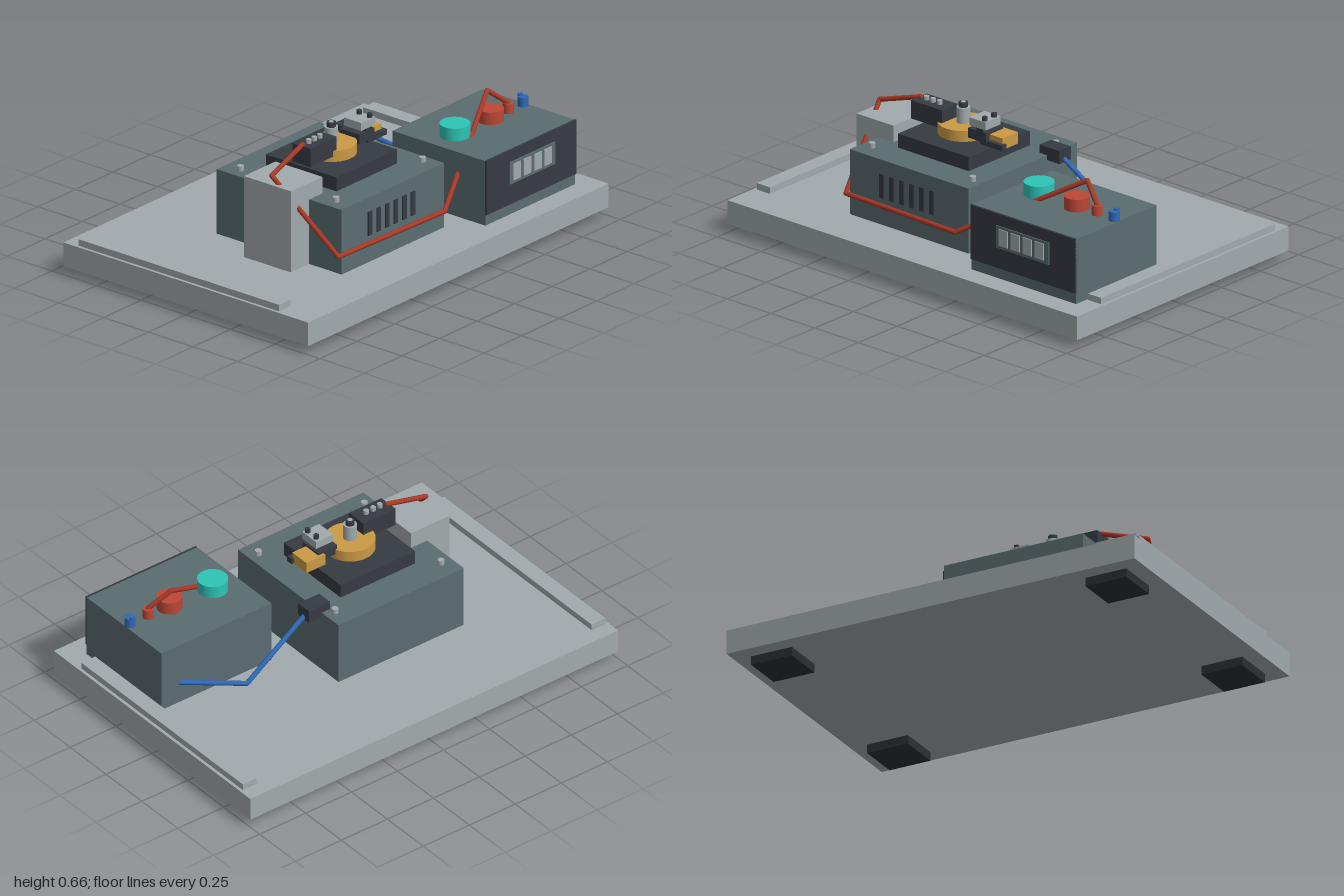
import * as THREE from 'three';

const mat = (name, color, extra) => Object.assign(new THREE.MeshStandardMaterial({ color }), { name }, extra);
const M = {
  grey: mat('light grey', 0xa2aaad),
  steel: mat('slate steel', 0x5a6c70),
  dark: mat('charcoal', 0x363a42),
  gold: mat('brass', 0xcb9a45),
  red: mat('signal red', 0xbc4735),
  wireRed: mat('wire red', 0xa83826),
  teal: mat('turquoise', 0x2dc4b6),
  blue: mat('blue', 0x2f69b5),
  rubber: mat('rubber black', 0x2b2e33),
};

export function createModel() {
  const root = new THREE.Group();
  root.name = 'benchApparatus';

  const add = (name, geometry, material, x = 0, y = 0, z = 0) => {
    const mesh = new THREE.Mesh(geometry, material);
    mesh.name = name;
    mesh.position.set(x, y, z);
    root.add(mesh);
    return mesh;
  };
  // box given by its extents
  const box = (name, m, x0, x1, y0, y1, z0, z1) =>
    add(name, new THREE.BoxGeometry(x1 - x0, y1 - y0, z1 - z0), m, (x0 + x1) / 2, (y0 + y1) / 2, (z0 + z1) / 2);
  // upright cylinder from y0 to y1
  const post = (name, m, x, z, r, y0, y1, sides = 32) =>
    add(name, new THREE.CylinderGeometry(r, r, y1 - y0, sides), m, x, (y0 + y1) / 2, z);
  // straight wire segments with rounded joints
  const wire = (name, m, r, points) => {
    const pts = points.map(p => new THREE.Vector3(...p));
    const group = new THREE.Group();
    group.name = name;
    pts.forEach((p, i) => {
      const joint = new THREE.Mesh(new THREE.SphereGeometry(r, 12, 8), m);
      joint.name = name + 'Joint';
      joint.position.copy(p);
      group.add(joint);
      if (!i) return;
      const d = p.clone().sub(pts[i - 1]);
      const seg = new THREE.Mesh(new THREE.CylinderGeometry(r, r, d.length(), 12), m);
      seg.name = name + 'Segment';
      seg.position.copy(p).add(pts[i - 1]).multiplyScalar(0.5);
      seg.quaternion.setFromUnitVectors(new THREE.Vector3(0, 1, 0), d.normalize());
      group.add(seg);
    });
    root.add(group);
  };

  // base board, feet and side rails
  box('baseBoard', M.grey, -1, 1, 0.04, 0.15, -0.685, 0.685);
  for (const s of [-1, 1]) {
    for (const t of [-1, 1]) {
      add('foot', new THREE.BoxGeometry(0.2, 0.04, 0.2), M.rubber, s * 0.82, 0.02, t * 0.512);
    }
    add('sideRail', new THREE.BoxGeometry(0.075, 0.03, 1.125), M.grey, s * 0.948, 0.165, -0.052);
  }

  // main housing with vents and corner bolts
  box('mainHousing', M.steel, -0.503, 0.177, 0.15, 0.45, -0.245, 0.455);
  for (let i = 0; i < 6; i++) {
    const x = -0.317 + i * 0.057;
    box('ventSlot', M.dark, x - 0.0125, x + 0.0125, 0.275, 0.385, 0.454, 0.461);
  }
  for (const x of [-0.446, 0.13]) {
    for (const z of [-0.16, 0.375]) post('housingBolt', M.grey, x, z, 0.015, 0.45, 0.472, 16);
  }

  // stage with turntable and spindle
  box('stage', M.dark, -0.36, 0.045, 0.45, 0.515, -0.09, 0.305);
  post('turntable', M.gold, -0.16, 0.108, 0.11, 0.515, 0.565, 48);
  post('spindle', M.grey, -0.16, 0.108, 0.03, 0.565, 0.635, 24);
  post('spindleTip', M.dark, -0.16, 0.108, 0.02, 0.635, 0.657, 20);
  post('spindleCap', M.grey, -0.16, 0.108, 0.011, 0.656, 0.659, 16);

  // left terminal block
  box('terminalBlock', M.dark, -0.391, -0.215, 0.54, 0.625, 0.085, 0.185);
  for (const x of [-0.345, -0.308, -0.27]) post('terminalScrew', M.grey, x, 0.137, 0.012, 0.625, 0.643, 16);

  // right sensor assembly
  box('sensorArm', M.dark, -0.065, 0.038, 0.54, 0.585, 0.075, 0.185);
  box('sensorPost', M.dark, -0.02, 0.02, 0.585, 0.6, 0.1, 0.185);
  box('sensorBracket', M.dark, 0, 0.125, 0.525, 0.55, 0.15, 0.18);
  box('sensorBlock', M.gold, 0.01, 0.112, 0.522, 0.575, 0.062, 0.161);
  box('sensorHead', M.grey, -0.055, 0.038, 0.6, 0.637, 0.09, 0.187);
  for (const z of [0.113, 0.172]) post('sensorPin', M.dark, 0.02, z, 0.012, 0.637, 0.655, 16);

  // supply tower and rear connector
  box('supplyTower', M.grey, -0.625, -0.415, 0.15, 0.527, 0.01, 0.273);
  box('rearConnector', M.dark, 0.133, 0.247, 0.428, 0.488, -0.128, -0.053);

  // control box with front panel and display
  box('controlBox', M.steel, 0.305, 0.903, 0.15, 0.45, 0.06, 0.58);
  box('frontPanel', M.dark, 0.305, 0.903, 0.2, 0.452, 0.578, 0.587);
  box('displayFrame', M.steel, 0.455, 0.757, 0.295, 0.398, 0.586, 0.592);
  for (let i = 0; i < 4; i++) {
    const x = 0.498 + i * 0.069;
    box('displayDigit', M.grey, x - 0.025, x + 0.025, 0.31, 0.386, 0.59, 0.597);
  }

  // knobs and sockets
  post('tealKnob', M.teal, 0.44, 0.296, 0.067, 0.45, 0.508);
  post('redKnob', M.red, 0.666, 0.307, 0.056, 0.45, 0.508);
  post('redSocket', M.red, 0.782, 0.307, 0.024, 0.45, 0.495, 20);
  post('blueSocket', M.blue, 0.88, 0.307, 0.024, 0.45, 0.493, 20);
  post('blueSocketTip', M.blue, 0.88, 0.292, 0.012, 0.49, 0.502, 14);

  // wires
  wire('redWire', M.wireRed, 0.011, [
    [-0.38, 0.628, 0.132], [-0.604, 0.56, 0.148], [-0.525, 0.24, 0.455],
    [0.135, 0.25, 0.495], [0.69, 0.57, 0.266], [0.782, 0.495, 0.307],
  ]);
  wire('blueWire', M.blue, 0.011, [
    [0.22, 0.455, -0.088], [0.565, 0.235, -0.104], [0.82, 0.25, 0.08],
  ]);
  return root;
}
